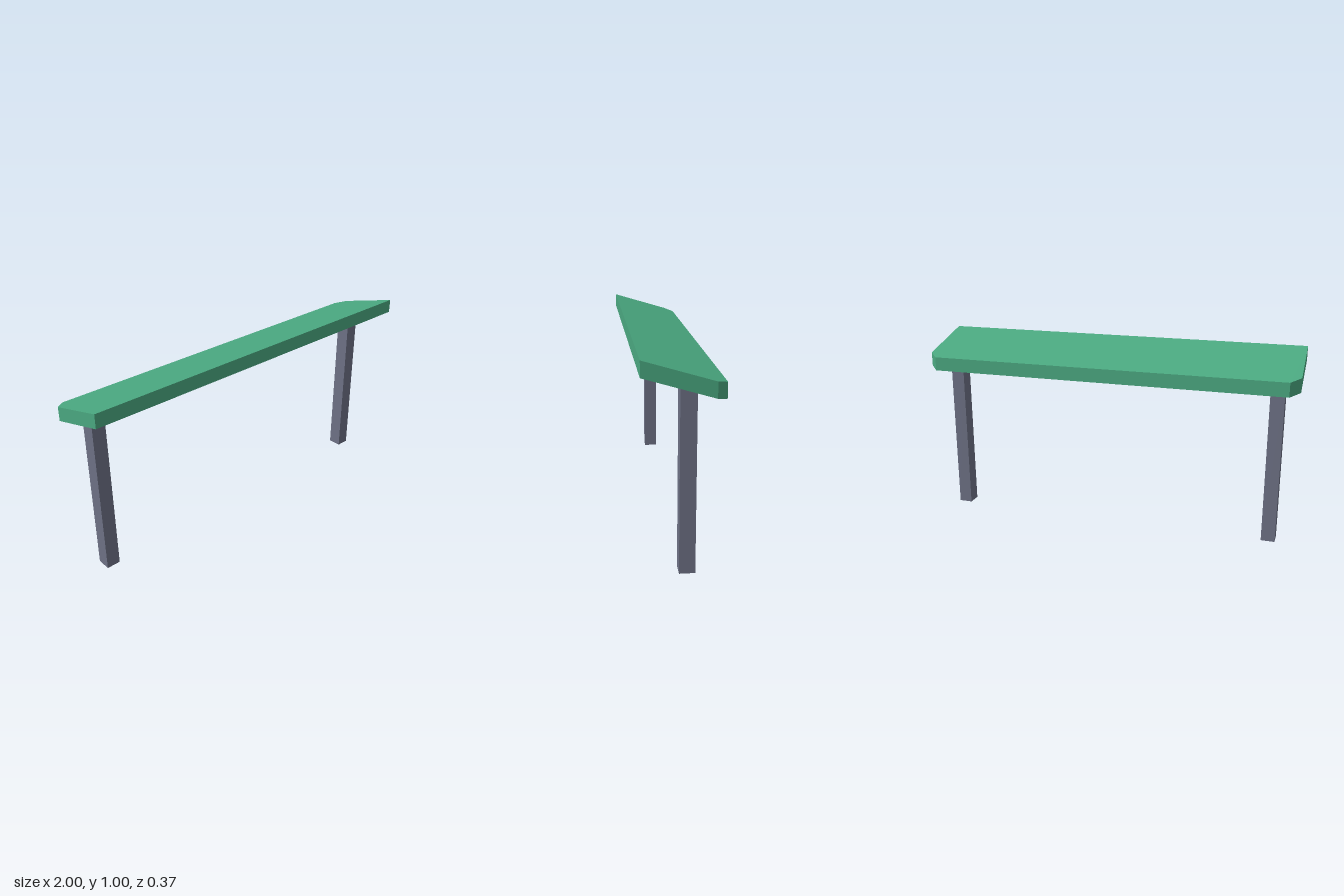
import * as THREE from 'three';

const SLOPE = 0.11 / 0.37; // roof rises towards the front
const THICK = 0.073;
const underside = (z) => 0.872 + SLOPE * z;

export function createModel() {
  const model = new THREE.Group();
  model.name = 'shelter';

  const green = new THREE.MeshStandardMaterial({ color: 0x4aa880 });
  green.name = 'roof green';
  const grey = new THREE.MeshStandardMaterial({ color: 0x6d7185 });
  grey.name = 'post grey';

  // Roof: slab with clipped rear corners, sheared into a slope
  const outline = new THREE.Shape([
    [-1, -0.185], [1, -0.185], [1, 0.135], [0.95, 0.185], [-0.95, 0.185], [-1, 0.135],
  ].map(([x, y]) => new THREE.Vector2(x, y)));
  const roofGeo = new THREE.ExtrudeGeometry(outline, { depth: THICK, bevelEnabled: false });
  roofGeo.rotateX(-Math.PI / 2);
  const r = roofGeo.attributes.position;
  for (let i = 0; i < r.count; i++) r.setY(i, r.getY(i) + underside(r.getZ(i)));
  roofGeo.computeVertexNormals();
  const roof = new THREE.Mesh(roofGeo, green);
  roof.name = 'roof';
  model.add(roof);

  // Posts: square, tops cut to meet the sloping underside
  const postGeo = new THREE.BoxGeometry(0.072, 1, 0.074);
  postGeo.translate(0, 0.5, -0.027);
  const p = postGeo.attributes.position;
  for (let i = 0; i < p.count; i++) if (p.getY(i) > 0.5) p.setY(i, underside(p.getZ(i)));
  postGeo.computeVertexNormals();
  for (const side of [-1, 1]) {
    const post = new THREE.Mesh(postGeo, grey);
    post.name = side > 0 ? 'leftPost' : 'rightPost';
    post.position.x = side * 0.886;
    model.add(post);
  }

  return model;
}
